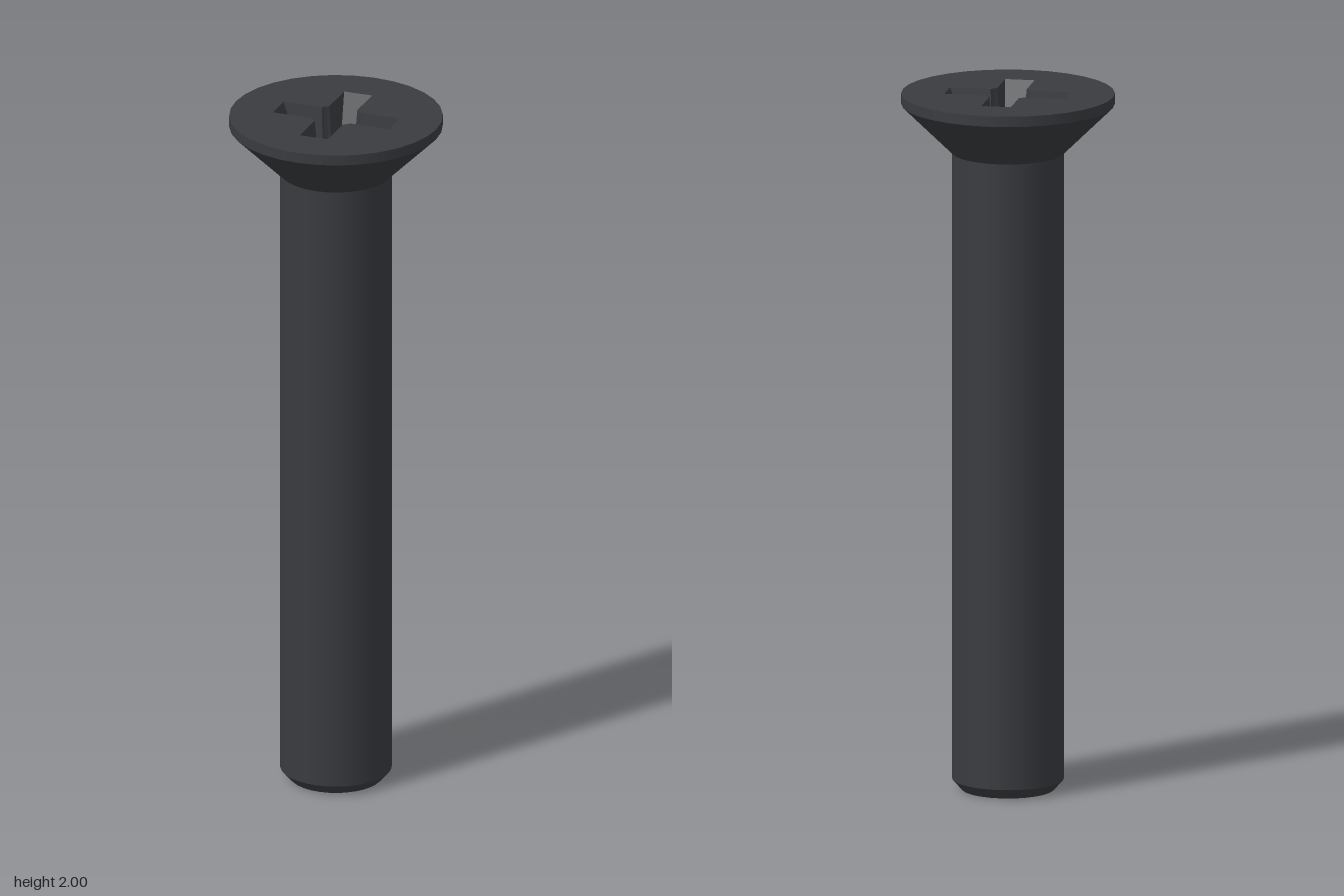
import * as THREE from 'three';

const SEGMENTS = 32;
const TOP = 2, FLOOR = 1.83, APEX = 1.8;
const ARC_STEPS = 3;

// Points on an arc, angles in radians
const arc = (r, from, to, n = ARC_STEPS) =>
  Array.from({ length: n + 1 }, (_, i) => {
    const a = from + ((to - from) * i) / n;
    return new THREE.Vector2(r * Math.cos(a), r * Math.sin(a));
  });

// Repeats one quadrant's points four times around the axis
const fourTimes = (pts) =>
  [0, 1, 2, 3].flatMap((k) => pts.map((p) => p.clone().rotateAround(new THREE.Vector2(), (k * Math.PI) / 2)));

// Cross outline: arm tip, then the rounded inner corner
function crossOutline({ length, half, radius }) {
  const a = Math.asin(half / radius);
  return fourTimes([
    new THREE.Vector2(length, -half),
    new THREE.Vector2(length, half),
    ...arc(radius, a, Math.PI / 2 - a),
  ]);
}

// Flat-shaded geometry from a list of triangle corners
function triangles(corners) {
  const g = new THREE.BufferGeometry().setFromPoints(corners);
  g.computeVertexNormals();
  return g;
}

const at = (p, y) => new THREE.Vector3(p.x, y, -p.y);

export function createModel() {
  const group = new THREE.Group();
  const material = new THREE.MeshStandardMaterial({ color: 0x393b3f });
  const add = (name, geometry) => {
    const mesh = new THREE.Mesh(geometry, material);
    mesh.name = name;
    group.add(mesh);
    return mesh;
  };

  // Turned body: each band is its own surface, so the rims stay sharp
  const bands = [
    ['tipFace', 0, 0, 0.13, 0],
    ['tipChamfer', 0.13, 0, 0.157, 0.03],
    ['shank', 0.157, 0.03, 0.157, 1.83],
    ['headCone', 0.157, 1.83, 0.3, 1.97],
    ['headRim', 0.3, 1.97, 0.3, TOP],
  ];
  for (const [name, r0, y0, r1, y1] of bands) {
    add(name, new THREE.LatheGeometry([new THREE.Vector2(r0, y0), new THREE.Vector2(r1, y1)], SEGMENTS));
  }

  // Head face with the cross-shaped opening
  const upper = crossOutline({ length: 0.174, half: 0.042, radius: 0.0715 });
  const lowerSize = { length: 0.106, half: 0.029, radius: 0.059 };
  const lower = crossOutline(lowerSize);
  const face = new THREE.Shape(arc(0.3, 0, 2 * Math.PI, SEGMENTS).slice(0, -1));
  face.holes.push(new THREE.Path([...upper].reverse()));
  add('headFace', new THREE.ShapeGeometry(face).rotateX(-Math.PI / 2).translate(0, TOP, 0));

  // Tapered walls of the drive recess, facing inward
  add('recessWalls', triangles(upper.flatMap((p, i) => {
    const j = (i + 1) % upper.length;
    const a = at(p, TOP), b = at(upper[j], TOP);
    const c = at(lower[i], FLOOR), d = at(lower[j], FLOOR);
    return [b, d, c, b, c, a];
  })));

  // Floor of each arm, ending at the central dimple
  const { length, half, radius } = lowerSize;
  const spread = Math.asin(half / radius);
  const armFloor = new THREE.ShapeGeometry(new THREE.Shape([
    new THREE.Vector2(length, -half),
    new THREE.Vector2(length, half),
    ...arc(radius, spread, -spread, 6),
  ])).rotateX(-Math.PI / 2);
  for (let k = 0; k < 4; k++) {
    const arm = add('recessArmFloor', armFloor);
    arm.position.y = FLOOR;
    arm.rotation.y = (k * Math.PI) / 2;
  }

  // Conical dimple in the middle of the recess
  const rim = fourTimes([
    ...arc(radius, -spread, spread, 6).slice(0, -1),
    ...arc(radius, spread, Math.PI / 2 - spread).slice(0, -1),
  ]);
  const apex = new THREE.Vector3(0, APEX, 0);
  add('recessDimple', triangles(rim.flatMap((p, i) =>
    [apex, at(p, FLOOR), at(rim[(i + 1) % rim.length], FLOOR)])));

  return group;
}
